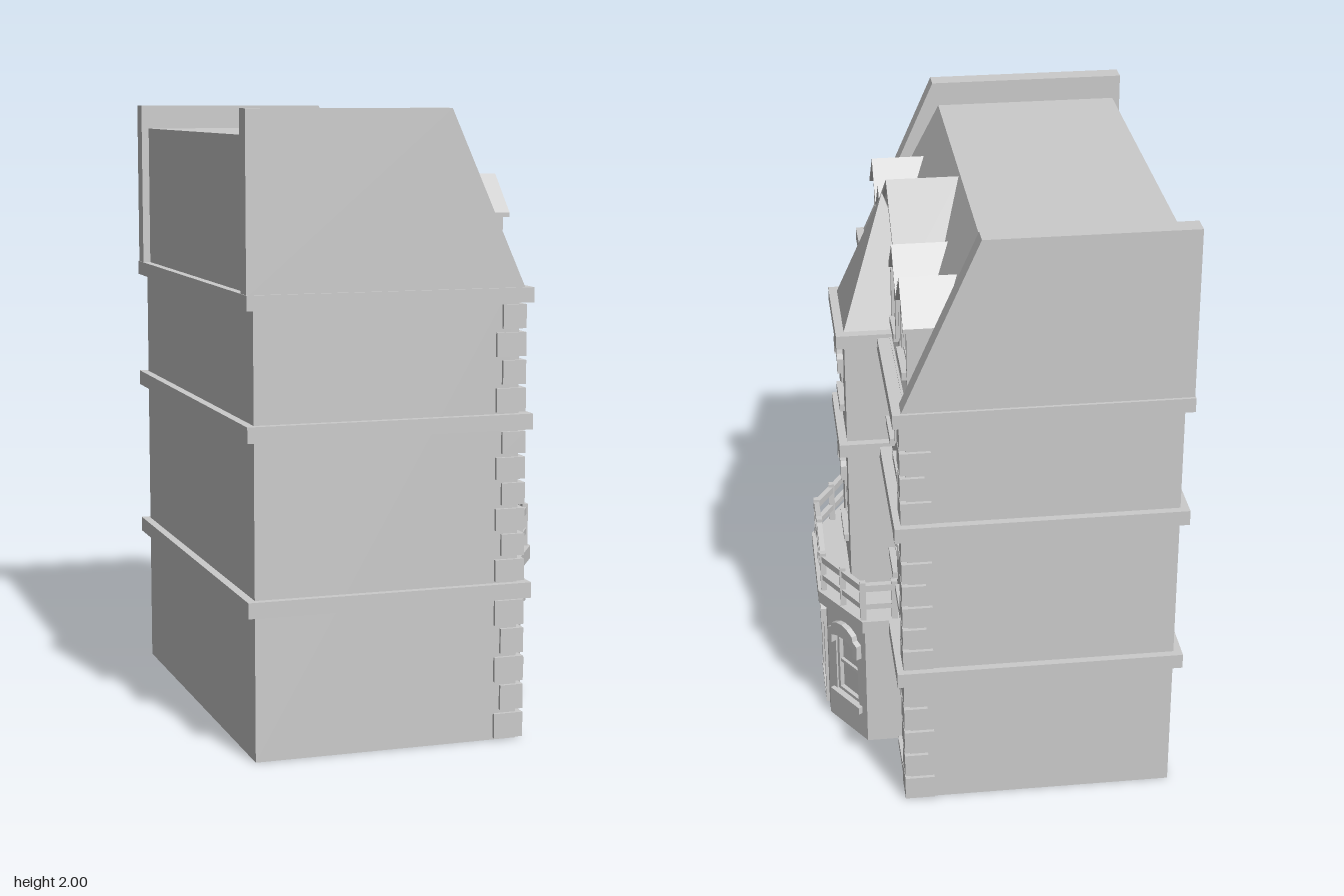
import * as THREE from 'three';

const mat = new THREE.MeshStandardMaterial({ color: 0xcccccc });

function add(parent, name, geo) {
  const m = new THREE.Mesh(geo, mat);
  m.name = name;
  parent.add(m);
  return m;
}

// Box given by its min and max corners
function block(parent, name, x0, x1, y0, y1, z0, z1) {
  const g = new THREE.BoxGeometry(x1 - x0, y1 - y0, z1 - z0);
  g.translate((x0 + x1) / 2, (y0 + y1) / 2, (z0 + z1) / 2);
  return add(parent, name, g);
}

const shapeOf = pts => new THREE.Shape(pts.map(p => new THREE.Vector2(p[0], p[1])));

// Extrude an outline from z0 to z1
function slab(parent, name, shape, z0, z1) {
  const g = new THREE.ExtrudeGeometry(shape, { depth: z1 - z0, bevelEnabled: false });
  g.translate(0, 0, z0);
  return add(parent, name, g);
}

// Plan outline (x, z half) mirrored in z and raised from y0 to y1
function storey(parent, name, half, y0, y1) {
  const pts = [...half.map(([x, z]) => [x, -z]), ...half.slice().reverse()];
  const g = new THREE.ExtrudeGeometry(shapeOf(pts), { depth: y1 - y0, bevelEnabled: false });
  g.rotateX(-Math.PI / 2).translate(0, y0, 0);
  return add(parent, name, g);
}

// Bar with a rectangular section between two points
function rail(parent, name, a, b, h, t) {
  const p = new THREE.Vector3(...a), q = new THREE.Vector3(...b);
  const m = add(parent, name, new THREE.BoxGeometry(t, h, p.distanceTo(q) + t * 0.5));
  m.position.copy(p).add(q).multiplyScalar(0.5);
  m.lookAt(q);
}

// Group whose local +z points outward along (nx, nz)
function face(parent, name, x, z, nx, nz) {
  const g = new THREE.Group();
  g.name = name;
  g.position.set(x, 0, z);
  g.rotation.y = Math.atan2(nx, nz);
  parent.add(g);
  return g;
}

// Arched hood moulding above an opening
function hood(parent, u, y, w) {
  const half = [[1, -0.04], [1, 0.012], [0.75, 0.022], [0.7, 0.04], [0.35, 0.055]];
  const inner = [[0.72, -0.04], [0.72, -0.008], [0.35, 0.004]];
  const at = ([k, dy], s) => [u + s * k * w, y + dy];
  slab(parent, 'windowHood', shapeOf([
    ...half.map(p => at(p, 1)), [u, y + 0.06], ...half.slice().reverse().map(p => at(p, -1)),
    ...inner.map(p => at(p, -1)), [u, y + 0.007], ...inner.slice().reverse().map(p => at(p, 1)),
  ]), -0.005, 0.02);
}

// Frame, bars, sill and hood of one opening
function windowUnit(parent, o) {
  const { u, y0, y1, w } = o, t = 0.012, ym = (y0 + y1) / 2;
  const bar = (a, b, c, d, z) => block(parent, 'windowFrame', a, b, c, d, -0.03, z);
  bar(u - w, u - w + t, y0, y1, -0.006);
  bar(u + w - t, u + w, y0, y1, -0.006);
  bar(u - w, u + w, y1 - t, y1, -0.006);
  bar(u - w, u + w, y0, y0 + t, -0.006);
  if (o.casement) bar(u - t / 2, u + t / 2, y0, y1, -0.01);
  else bar(u - w, u + w, ym - t / 2, ym + t / 2, -0.01);
  if (!o.noSill) block(parent, 'windowSill', u - w - 0.018, u + w + 0.018, y0 - 0.026, y0, -0.005, 0.016);
  if (!o.noHood) hood(parent, u, y1, w + 0.02);
}

// Wall sheet with openings cut through
function wall(parent, pts, openings, depth = 0.03) {
  const s = shapeOf(pts);
  for (const { u, y0, y1, w } of openings)
    s.holes.push(new THREE.Path([[u - w, y0], [u - w, y1], [u + w, y1], [u + w, y0]].map(p => new THREE.Vector2(...p))));
  slab(parent, 'wallSheet', s, -depth, 0);
  openings.filter(o => !o.door).forEach(o => windowUnit(parent, o));
}

const rect = (a, b, c, d) => [[a, c], [b, c], [b, d], [a, d]];

// Small gabled dormer with its chevron roof
function dormer(root, name, z, half, eave, apex, x, bodyHalf, openings) {
  const g = face(root, name, x, z, 1, 0);
  const slope = (apex - eave) / half, yb = apex - 0.015 - slope * bodyHalf;
  const body = [[-bodyHalf, 1.45], [bodyHalf, 1.45], [bodyHalf, yb], [0, apex - 0.015], [-bodyHalf, yb]];
  slab(g, 'dormerBody', shapeOf(body), 0.05 - x, -0.025);
  wall(g, body, openings, 0.025);
  slab(g, 'dormerRoof', shapeOf([[-half, eave - 0.015], [0, apex - 0.018], [half, eave - 0.015],
    [half, eave], [0, apex], [-half, eave]]), 0.06 - x, 0.012);
}

export function createModel() {
  const root = new THREE.Group();
  root.name = 'townHouse';
  const columns = [0.505, 0.26, -0.235, -0.485];

  // Main block and pierced street wall
  block(root, 'mainBody', -0.55, 0.282, 0, 1.45, -0.7, 0.7);
  const openings = [];
  for (const z of columns) {
    openings.push({ u: -z, y0: 1.15, y1: 1.31, w: 0.068, casement: true });
    openings.push({ u: -z, y0: 0.645, y1: 0.89, w: 0.07 });
    if (Math.abs(z) > 0.4) openings.push({ u: -z, y0: 0.03, y1: 0.36, w: 0.072 });
  }
  wall(face(root, 'streetWall', 0.312, 0, 1, 0), rect(-0.7, 0.7, 0, 1.45), openings);

  // String courses
  for (const [y0, y1] of [[0.46, 0.51], [1.0, 1.05], [1.4, 1.447]])
    block(root, 'stringCourse', -0.577, 0.352, y0, y1, -0.725, 0.725);

  // Corner quoins, alternating long and short
  for (const [base, top, n] of [[0, 0.46, 5], [0.51, 1.0, 6], [1.05, 1.4, 4]])
    for (let i = 0; i < n; i++) {
      const p = (top - base) / n, y = base + i * p + 0.006, k = i % 2 ? 0.02 : 0;
      for (const s of [-1, 1]) {
        const a = s * 0.712, b = s * (0.632 - 0.02 + k);
        block(root, 'quoin', 0.235 + k, 0.332, y, y + p - 0.012, Math.min(a, b), Math.max(a, b));
      }
    }

  // Roof and the raised end walls
  slab(root, 'roof', shapeOf([[-0.55, 1.44], [0.31, 1.44], [0.06, 1.92], [-0.55, 1.92]]), -0.66, 0.66);
  for (const z of [-0.715, 0.65])
    slab(root, 'endParapet', shapeOf([[-0.575, 1.44], [0.328, 1.44], [0.08, 2], [-0.575, 2]]), z, z + 0.065);

  // Dormers
  const pane = { u: 0, y0: 1.515, y1: 1.67, noHood: true };
  dormer(root, 'centralDormer', 0.007, 0.375, 1.68, 1.912, 0.286, 0.345, []);
  for (const z of columns) {
    const inner = Math.abs(z) < 0.4;
    dormer(root, 'dormer', z, 0.123, 1.675, 1.792, 0.293, 0.098,
      [{ ...pane, w: inner ? 0.055 : 0.075, casement: inner }]);
    if (inner) for (const s of [-1, 1])
      block(root, 'dormerPilaster', 0.28, 0.302, 1.5, 1.675, z + s * 0.076 - 0.012, z + s * 0.076 + 0.012);
  }

  // Tower above the porch with its spire
  const tz = 0.005;
  block(root, 'towerCore', 0.27, 0.427, 0.5, 1.44, tz - 0.165, tz + 0.165);
  wall(face(root, 'towerFront', 0.457, tz, 1, 0), rect(-0.165, 0.165, 0.5, 1.44), [
    { u: 0, y0: 0.66, y1: 0.915, w: 0.072 },
    { u: 0, y0: 1.16, y1: 1.315, w: 0.068, casement: true },
  ]);
  for (const y of [1.018, 1.415])
    block(root, 'towerCourse', 0.27, 0.484, y, y + 0.045, tz - 0.193, tz + 0.193);
  const spire = new THREE.ConeGeometry(Math.SQRT2, 0.41, 4, 1).toNonIndexed();
  spire.rotateY(Math.PI / 4).scale(0.145, 1, 0.16).translate(0.312, 1.665, tz);
  spire.computeVertexNormals();
  add(root, 'spire', spire);

  // Ground floor bay
  storey(root, 'bayCore', [[0.28, 0.345], [0.42, 0.345], [0.525, 0.17]], 0, 0.47);
  storey(root, 'baySides', [[0.28, 0.366], [0.43, 0.366], [0.425, 0.345]], 0, 0.47);
  storey(root, 'bayCornice', [[0.28, 0.405], [0.44, 0.405], [0.573, 0.192]], 0.465, 0.51);
  for (const s of [-1, 1])
    wall(face(root, 'bayDiagonal', 0.4875, s * 0.273, 0.185, s * 0.115), rect(-0.109, 0.109, 0, 0.47),
      [{ u: 0, y0: 0.125, y1: 0.365, w: 0.064 }], 0.02);

  // Entrance
  const porch = face(root, 'entrance', 0.545, 0, 1, 0);
  wall(porch, rect(-0.18, 0.18, 0, 0.47), [{ u: 0, y0: 0.012, y1: 0.36, w: 0.095, door: true }], 0.02);
  block(porch, 'door', -0.076, 0.076, 0.012, 0.345, -0.022, -0.013);
  for (const s of [-1, 1]) {
    block(porch, 'doorPost', s * 0.1 - 0.018, s * 0.1 + 0.018, 0, 0.36, -0.02, 0.01);
    block(porch, 'doorPanel', s * 0.037 - 0.022, s * 0.037 + 0.022, 0.05, 0.16, -0.015, -0.01);
    block(porch, 'doorPanel', s * 0.037 - 0.022, s * 0.037 + 0.022, 0.215, 0.32, -0.015, -0.01);
  }
  block(porch, 'doorLintel', -0.118, 0.118, 0.345, 0.37, -0.02, 0.012);
  block(porch, 'doorStep', -0.118, 0.118, 0, 0.015, -0.02, 0.012);
  hood(porch, 0, 0.375, 0.118);
  add(porch, 'doorKnob', new THREE.SphereGeometry(0.012, 12, 8)).position.set(0.052, 0.19, -0.004);

  // Balcony railing, peaked over the entrance
  for (const s of [-1, 1]) {
    const a = [0.33, s * 0.385], b = [0.435, s * 0.385], c = [0.553, s * 0.182];
    const mid = [(b[0] + c[0]) / 2, (b[1] + c[1]) / 2];
    for (const [x, z] of [a, b, mid, c])
      block(root, 'railPost', x - 0.01, x + 0.01, 0.505, 0.655, z - 0.01, z + 0.01);
    for (const [y, h] of [[0.562, 0.02], [0.632, 0.024]]) {
      rail(root, 'balconyRail', [a[0], y, a[1]], [b[0], y, b[1]], h, 0.018);
      rail(root, 'balconyRail', [b[0], y, b[1]], [c[0], y, c[1]], h, 0.018);
      rail(root, 'balconyRail', [c[0], y, c[1]], [c[0], y + 0.03, 0], h, 0.018);
    }
  }
  block(root, 'centrePost', 0.543, 0.563, 0.505, 0.683, -0.012, 0.012);
  return root;
}
